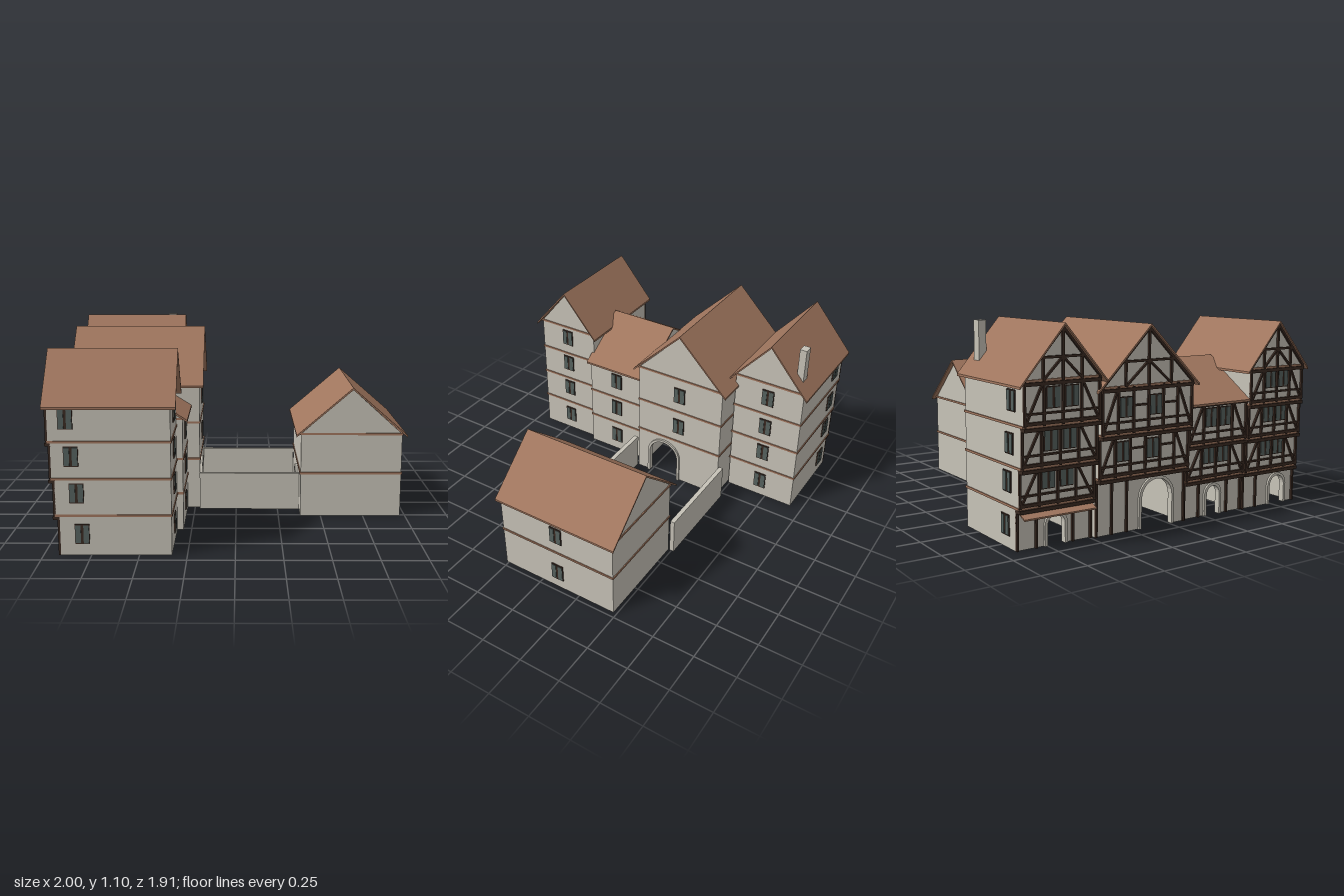
import * as THREE from 'three';

const mat = (name, color, side = THREE.FrontSide) => {
  const m = new THREE.MeshStandardMaterial({ color, side });
  m.name = name;
  return m;
};

export function createModel() {
  const plaster = mat('plaster', 0xc6c2b7);
  const tile = mat('roof tile', 0xa0765e, THREE.DoubleSide);
  const timber = mat('dark timber', 0x3a2a22);
  const slate = mat('window slate', 0x56625f);
  const T = 0.018; // wall thickness
  const root = new THREE.Group();
  root.name = 'courtyardHouses';

  const add = (parent, name, geo, m) => {
    const mesh = new THREE.Mesh(geo, m);
    mesh.name = name;
    parent.add(mesh);
    return mesh;
  };
  // Box given by its min and max on each axis
  const box = (p, name, x0, x1, y0, y1, z0, z1, m) =>
    add(p, name, new THREE.BoxGeometry(x1 - x0, y1 - y0, z1 - z0)
      .translate((x0 + x1) / 2, (y0 + y1) / 2, (z0 + z1) / 2), m);
  // Extrude an outline of [z, y] points along x
  const slabX = (p, name, pts, x0, x1, m) => {
    const shape = new THREE.Shape(pts.map(a => new THREE.Vector2(a[0], a[1])));
    const g = new THREE.ExtrudeGeometry(shape, { depth: x1 - x0, bevelEnabled: false });
    return add(p, name, g.rotateY(-Math.PI / 2).translate(x1, 0, 0), m);
  };
  // Extrude an outline of [x, y] points along z
  const slabZ = (p, name, pts, z0, z1, m) => {
    const shape = new THREE.Shape(pts.map(a => new THREE.Vector2(a[0], a[1])));
    const g = new THREE.ExtrudeGeometry(shape, { depth: z1 - z0, bevelEnabled: false });
    return add(p, name, g.translate(0, 0, z0), m);
  };
  // Round arch outline, from left foot to right foot
  const arch = (c, w, h) => {
    const pts = [[c - w, 0]];
    for (let i = 0; i <= 12; i++) {
      const a = Math.PI * (1 - i / 12);
      pts.push([c + w * Math.cos(a), h - w + w * Math.sin(a)]);
    }
    return [...pts, [c + w, 0]];
  };
  // Window with two leaves, facing +z before turning
  const win = (p, x, y, z, turn) => {
    const g = new THREE.Group();
    g.name = 'window';
    box(g, 'windowFrame', -0.038, 0.038, -0.053, 0.053, 0, 0.006, timber);
    for (const s of [-1, 1])
      add(g, 'windowLeaf', new THREE.BoxGeometry(0.028, 0.096, 0.009).translate(s * 0.021, 0, 0.0045), slate);
    g.position.set(x, y, z);
    g.rotation.y = turn;
    p.add(g);
  };
  const EAST = Math.PI / 2, WEST = -Math.PI / 2;
  // Timber between two points [z, y] on a west wall at x
  const beam = (p, x, a, b, w = 0.012) => {
    const dz = b[0] - a[0], dy = b[1] - a[1];
    const m = add(p, 'timber', new THREE.BoxGeometry(0.014, Math.hypot(dz, dy), w), timber);
    m.position.set(x - 0.005, (a[1] + b[1]) / 2, (a[0] + b[0]) / 2);
    m.rotation.x = Math.atan2(dz, dy);
  };
  // Stone doorway on a wall along z
  const doorTrim = (p, d, x0, x1) =>
    slabX(p, 'doorArch', [...arch(d.z, d.w + 0.016, d.h + 0.016), ...arch(d.z, d.w, d.h).reverse()], x0, x1, plaster);

  const house = (o) => {
    const g = new THREE.Group();
    g.name = o.name;
    root.add(g);
    const { x1, z0, z1, levels, west } = o;
    const n = levels.length - 1;
    const zc = (z0 + z1) / 2;

    for (let i = 0; i < n; i++) {
      const x0 = west[i], y0 = levels[i], y1 = levels[i + 1];
      // Storey walls
      box(g, 'southWall', x0, x1, y0, y1, z1 - T, z1, plaster);
      box(g, 'northWall', x0, x1, y0, y1, z0, z0 + T, plaster);
      for (const [x, door] of [[x0, o.westDoor], [x1 - T, o.eastDoor]]) {
        const cut = i === 0 && door ? arch(door.z, door.w, door.h) : [];
        slabX(g, 'endWall', [[z0 + T, y0], ...cut, [z1 - T, y0], [z1 - T, y1], [z0 + T, y1]], x, x + T, plaster);
        if (cut.length) doorTrim(g, door, x === x0 ? x - 0.012 : x - 0.004, x === x0 ? x + T + 0.004 : x + T + 0.012);
      }
      // Floor slab whose edge shows as a band
      const xn = west[Math.min(i + 1, n - 1)];
      box(g, 'floorBand', xn - 0.006, x1 + 0.005, y1 - 0.006, y1 + 0.006, z0 - 0.005, z1 + 0.005, tile);

      // Windows
      const wy = o.winY[i];
      if (o.eastWin[i]) win(g, x1, wy, o.winZ, EAST);
      if (o.sideWin) win(g, -0.795 - 0.023 * i + o.sideWin.dx, wy, o.sideWin.s > 0 ? z1 : z0, o.sideWin.s > 0 ? 0 : Math.PI);

      // Timber framing of the street front
      if (!o.framed) continue;
      const bays = Math.max(4, Math.round((z1 - z0) / 0.1));
      const step = (z1 - z0 - 0.012) / bays;
      const at = k => z0 + 0.006 + k * step;
      const d = o.westDoor;
      const free = z => i > 0 || !d || Math.abs(z - d.z) > d.w + 0.02;
      for (let k = 0; k <= bays; k++)
        if (free(at(k))) beam(g, x0, [at(k), y0], [at(k), y1]);
      box(g, 'jettyBeam', xn - 0.016, x0 + 0.004, y1 - 0.024, y1 - 0.006, z0, z1, timber);
      if (i === 0) continue;
      box(g, 'sillBeam', x0 - 0.014, x0, y0 + 0.006, y0 + 0.022, z0, z1, timber);
      beam(g, x0, [z0, y0 + 0.06], [z1, y0 + 0.06], 0.01);
      for (let k = 0; k < bays; k++) {
        if (k === 0 || k === bays - 1) {
          const up = k === 0;
          beam(g, x0, [at(k), up ? y0 : y1], [at(k + 1), up ? y1 : y0], 0.01);
        } else if (k % 2 === 1 || bays === 4) win(g, x0, wy + 0.015, at(k + 0.5), WEST);
        else beam(g, x0, [at(k), y0 + 0.14], [at(k + 1), y0 + 0.14], 0.01);
      }
    }

    // Gables and roof
    const r = o.roof, t = 0.012, top = levels[n], xt = west[n - 1];
    const along = r.axis === 'x';
    const c = along ? zc : (r.x0 + r.x1) / 2;
    const half = along ? (r.z1 - r.z0) / 2 : (r.x1 - r.x0) / 2;
    const chevron = [[c - half, r.eave - t], [c, r.ridge - t], [c + half, r.eave - t],
      [c + half, r.eave], [c, r.ridge], [c - half, r.eave]];
    if (along) {
      const gable = [[z0, top], [z1, top], [zc, r.ridge - t]];
      slabX(g, 'westGable', gable, xt, xt + T, plaster);
      slabX(g, 'eastGable', gable, x1 - T, x1, plaster);
      slabX(g, 'roof', chevron, r.x0, r.x1, tile);
      // Gable framing
      const h = r.ridge - t - top, hw = (z1 - z0) / 2;
      beam(g, xt, [zc, top], [zc, top + h * 0.95]);
      beam(g, xt, [zc - hw * 0.55, top + h * 0.42], [zc + hw * 0.55, top + h * 0.42]);
      for (const s of [-1, 1]) {
        beam(g, xt, [zc + s * hw, top], [zc, top + h - 0.008], 0.014);
        beam(g, xt, [zc + s * hw * 0.5, top], [zc + s * hw * 0.5, top + h * 0.46]);
        beam(g, xt, [zc + s * hw * 0.5, top], [zc, top + h * 0.42], 0.01);
      }
    } else {
      const gable = [[xt, top], [x1, top], [c, r.ridge - t]];
      slabZ(g, 'southGable', gable, z1 - T, z1, plaster);
      slabZ(g, 'northGable', gable, z0, z0 + T, plaster);
      slabZ(g, 'roof', chevron, r.z0, r.z1, tile);
    }
    return g;
  };

  const all = [1, 1, 1, 1];
  house({ name: 'southHouse', framed: true, x1: -0.33, z0: 0.52, z1: 0.925, west: [-0.91, -0.93, -0.945, -0.957],
    levels: [0, 0.215, 0.41, 0.605, 0.803], winY: [0.115, 0.335, 0.53, 0.725], winZ: 0.725, eastWin: all,
    sideWin: { s: 1, dx: 0 }, westDoor: { z: 0.79, w: 0.055, h: 0.165 },
    roof: { axis: 'x', x0: -0.98, x1: -0.3, z0: 0.49, z1: 0.95, eave: 0.79, ridge: 1.06 } });

  house({ name: 'linkHouse', framed: true, x1: -0.295, z0: 0.1, z1: 0.52, west: [-0.9, -0.92, -0.935],
    levels: [0, 0.215, 0.413, 0.64], winY: [0.115, 0.335, 0.54], winZ: 0.32, eastWin: all,
    westDoor: { z: 0.31, w: 0.045, h: 0.165 },
    roof: { axis: 'z', x0: -0.962, x1: -0.267, z0: 0.09, z1: 0.535, eave: 0.635, ridge: 0.855 } });

  const passage = { z: -0.09, w: 0.1, h: 0.26 };
  house({ name: 'gateHouse', framed: true, x1: -0.22, z0: -0.48, z1: 0.1, west: [-0.91, -0.94, -0.965],
    levels: [0, 0.305, 0.53, 0.768], winY: [0, 0.42, 0.65], winZ: -0.19, eastWin: [0, 1, 1],
    westDoor: passage, eastDoor: passage,
    roof: { axis: 'x', x0: -0.99, x1: -0.195, z0: -0.51, z1: 0.13, eave: 0.757, ridge: 1.077 } });

  const north = house({ name: 'northHouse', framed: true, x1: -0.37, z0: -0.925, z1: -0.49, west: [-0.89, -0.92, -0.945, -0.97],
    levels: [0, 0.215, 0.413, 0.617, 0.833], winY: [0.115, 0.335, 0.525, 0.735], winZ: -0.705, eastWin: all,
    sideWin: { s: -1, dx: 0 }, westDoor: { z: -0.7, w: 0.05, h: 0.155 },
    roof: { axis: 'x', x0: -1, x1: -0.342, z0: -0.955, z1: -0.46, eave: 0.812, ridge: 1.1 } });
  box(north, 'chimney', -0.47, -0.415, 0.85, 1.092, -0.892, -0.85, plaster);
  // Shop awning
  slabZ(north, 'awning', [[-0.96, 0.163], [-0.885, 0.195], [-0.885, 0.203], [-0.96, 0.171]], -0.915, -0.5, tile);

  house({ name: 'eastHouse', x1: 0.97, z0: -0.48, z1: 0.262, west: [0.38, 0.38],
    levels: [0, 0.26, 0.496], winY: [0.115, 0.385], winZ: -0.11, eastWin: [1, 1],
    westDoor: { z: -0.11, w: 0.05, h: 0.2 },
    roof: { axis: 'z', x0: 0.353, x1: 1, z0: -0.505, z1: 0.275, eave: 0.49, ridge: 0.77 } });

  // Courtyard walls and well
  const yard = new THREE.Group();
  yard.name = 'courtyard';
  root.add(yard);
  box(yard, 'southYardWall', -0.22, 0.38, 0, 0.224, 0.108, 0.136, plaster);
  box(yard, 'northYardWall', -0.22, 0.38, 0, 0.224, -0.515, -0.488, plaster);
  add(yard, 'well', new THREE.CylinderGeometry(0.05, 0.05, 0.06, 24).translate(0.08, 0.03, -0.19), plaster);
  return root;
}
